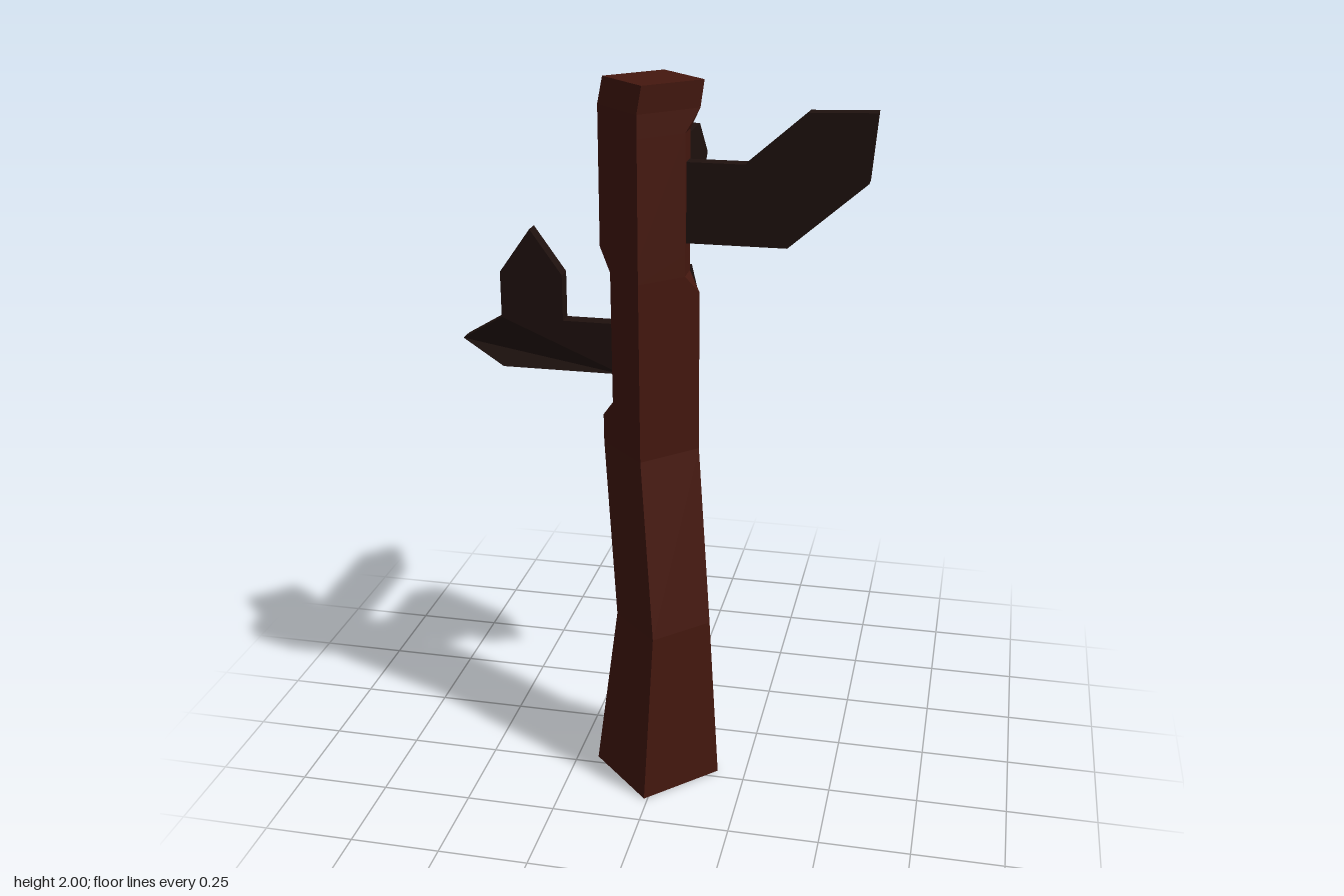
import * as THREE from 'three';

const bark = new THREE.MeshStandardMaterial({ color: 0x45180f, flatShading: true });
const darkWood = new THREE.MeshStandardMaterial({ color: 0x1f110e, flatShading: true });

// Linear interpolation through rows of [y, value, value, ...]
function sample(rows, y) {
  if (y <= rows[0][0]) return rows[0].slice(1);
  for (let i = 1; i < rows.length; i++) {
    const a = rows[i - 1], b = rows[i];
    if (y <= b[0]) {
      const t = (y - a[0]) / (b[0] - a[0]);
      return a.slice(1).map((v, k) => v + (b[k + 1] - v) * t);
    }
  }
  return rows[rows.length - 1].slice(1);
}

// Trunk axis and size: y, centre x, centre z, radius of the diamond section
const axis = [
  [0, -0.01, 0.22, 0.18], [0.5, 0.013, 0.242, 0.133], [1, -0.032, 0.182, 0.133],
  [1.5, -0.027, 0.212, 0.133], [1.93, -0.027, 0.212, 0.133], [2, -0.015, 0.212, 0.131],
];
// How far each corner is shaved where the branches attach: right-hand +x, front, -x, back
const shave = (y0, y1, y2, y3, d) => [[y0, 0], [y1, d], [y2, d], [y3, 0]];
const cuts = [
  shave(1.45, 1.5, 1.87, 1.93, 0.032),
  [[0, 0]],
  shave(1.08, 1.13, 1.5, 1.56, 0.036),
  shave(1.08, 1.13, 1.87, 1.93, 0.035),
];

function trunkGeometry() {
  const levels = [0, 0.5, 1, 1.08, 1.13, 1.45, 1.5, 1.56, 1.87, 1.93, 2];
  const rings = levels.map((y) => {
    const [cx, cz, r] = sample(axis, y);
    const ring = [];
    for (let k = 0; k < 4; k++) {
      const a = k * Math.PI / 2, c = Math.cos(a), s = Math.sin(a);
      const cut = sample(cuts[k], y)[0];
      for (const side of [-1, 1]) {
        const u = r - cut, v = side * cut;
        ring.push([cx + u * c - v * s, y, cz + u * s + v * c]);
      }
    }
    return ring;
  });
  const pos = [];
  const tri = (...pts) => pts.forEach((p) => pos.push(...p));
  const n = 8, top = rings.length - 1;
  for (let j = 0; j < top; j++) {
    for (let i = 0; i < n; i++) {
      const k = (i + 1) % n;
      const a = rings[j][i], b = rings[j][k], c = rings[j + 1][k], d = rings[j + 1][i];
      tri(a, d, b);
      tri(b, d, c);
    }
  }
  // End caps
  for (let i = 1; i < n - 1; i++) {
    tri(rings[0][0], rings[0][i], rings[0][i + 1]);
    tri(rings[top][0], rings[top][i + 1], rings[top][i]);
  }
  const g = new THREE.BufferGeometry();
  g.setAttribute('position', new THREE.Float32BufferAttribute(pos, 3));
  g.computeVertexNormals();
  return g;
}

// Flat plank cut from an outline, spanning depth near..far
function plank(name, outline, near, far) {
  const shape = new THREE.Shape(outline.map(([x, y]) => new THREE.Vector2(x, y)));
  const g = new THREE.ExtrudeGeometry(shape, { depth: far - near, bevelEnabled: false });
  g.translate(0, 0, near);
  const mesh = new THREE.Mesh(g, darkWood);
  mesh.name = name;
  return mesh;
}

export function createModel() {
  const model = new THREE.Group();
  model.name = 'deadTree';

  const trunk = new THREE.Mesh(trunkGeometry(), bark);
  trunk.name = 'trunk';
  model.add(trunk);

  // Left branch, bent upwards
  model.add(plank('leftBranch', [
    [0.04, 1.585], [0.335, 1.585], [0.535, 1.76], [0.55, 1.935],
    [0.38, 1.93], [0.225, 1.795], [0.04, 1.795],
  ], 0.187, 0.23));

  // Right branch with a pointed upright twig; its lower back edge flares
  const right = plank('rightBranch', [
    [-0.1, 1.215], [-0.1, 1.355], [-0.26, 1.355], [-0.26, 1.48], [-0.345, 1.6],
    [-0.43, 1.48], [-0.43, 1.355], [-0.55, 1.28], [-0.43, 1.215],
  ], 0.187, 0.23);
  const p = right.geometry.attributes.position;
  for (let i = 0; i < p.count; i++) {
    if (p.getZ(i) < 0.2) {
      if (p.getY(i) < 1.3) p.setZ(i, 0.16);
    } else if (p.getX(i) < -0.5) {
      p.setZ(i, 0.205);
    }
  }
  right.geometry.computeVertexNormals();
  model.add(right);

  // Back branches, drawn with the outline's x pointing backwards
  const backs = [
    plank('upperBackBranch', [
      [-0.14, 1.585], [0.27, 1.585], [0.39, 1.695], [0.27, 1.8], [-0.14, 1.8],
    ], -0.032, 0.011),
    plank('lowerBackBranch', [
      [-0.12, 1.22], [0.05, 1.21], [0.045, 0.965], [0.13, 0.835],
      [0.225, 0.96], [0.24, 1.33], [0.16, 1.42], [-0.12, 1.43],
    ], -0.032, 0.011),
  ];
  for (const b of backs) {
    b.rotation.y = Math.PI / 2;
    model.add(b);
  }
  return model;
}
